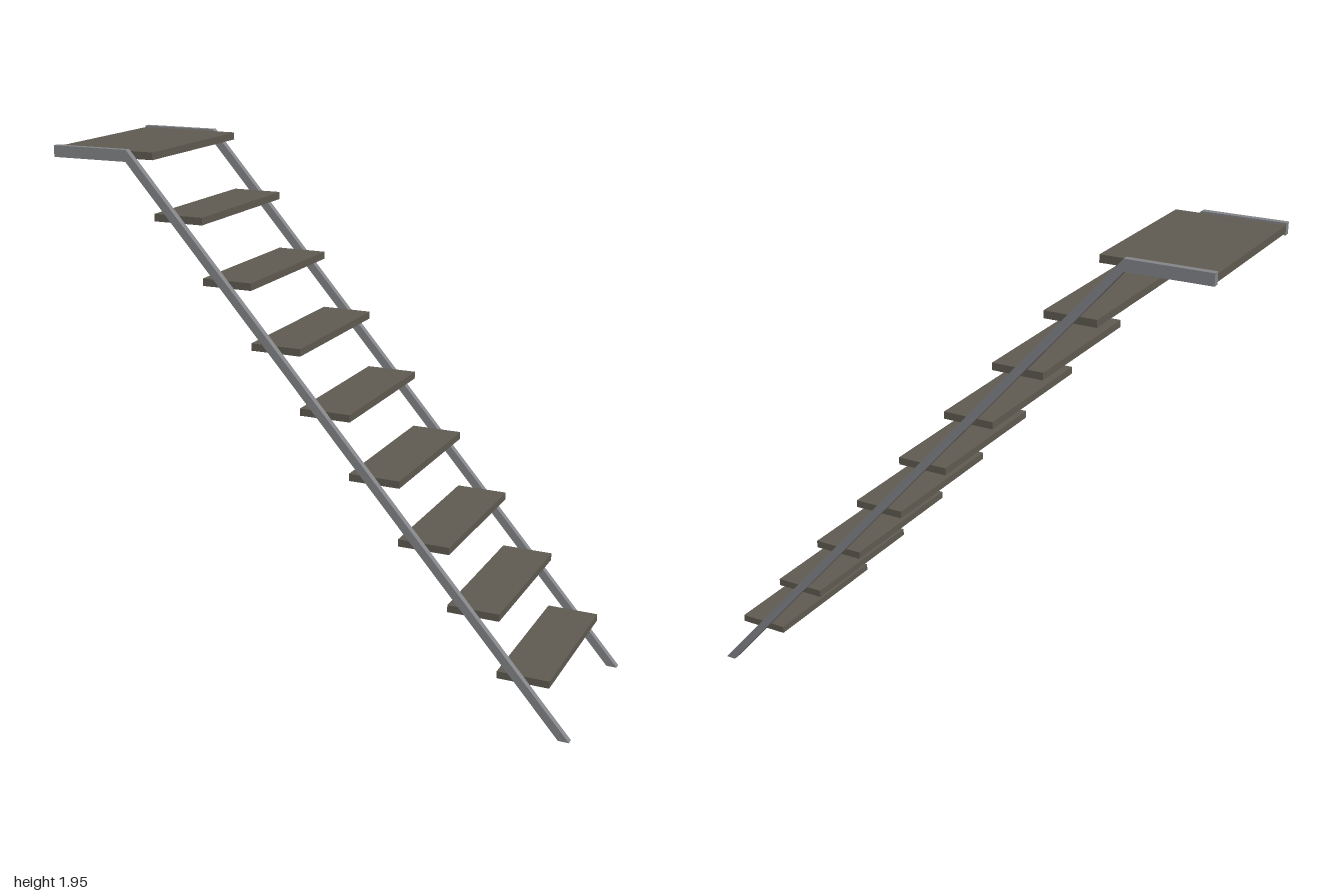
import * as THREE from 'three';

export function createModel() {
  const model = new THREE.Group();
  const steel = new THREE.MeshStandardMaterial({ color: 0x85868a });
  steel.name = 'grey steel';
  const board = new THREE.MeshStandardMaterial({ color: 0x605c52 });
  board.name = 'dark board';

  // Side rails: level at the landing, then straight down to the ground
  const railWidth = 0.024, inner = 0.302;
  const profile = new THREE.Shape([
    [-1, 1.903], [-0.702, 1.903], [0.96, 0], [1, 0], [-0.698, 1.945], [-1, 1.945],
  ].map(([x, y]) => new THREE.Vector2(x, y)));
  const railGeometry = new THREE.ExtrudeGeometry(profile, { depth: railWidth, bevelEnabled: false });
  for (const [name, z] of [['frontRail', inner], ['backRail', -inner - railWidth]]) {
    const rail = new THREE.Mesh(railGeometry, steel);
    rail.name = name;
    rail.position.z = z;
    model.add(rail);
  }

  // Boards fit between the rails
  const addBoard = (name, x0, x1, y) => {
    const mesh = new THREE.Mesh(new THREE.BoxGeometry(x1 - x0, 0.027, inner * 2), board);
    mesh.name = name;
    mesh.position.set((x0 + x1) / 2, y, 0);
    model.add(mesh);
  };

  // Eight evenly spaced treads and the landing
  const run = 0.1895, rise = 0.2165;
  for (let i = 0; i < 8; i++) {
    const x = 0.722 - i * run;
    addBoard(`tread${i + 1}`, x, x + 0.192, 0.193 + i * rise);
  }
  addBoard('landing', -1, -0.605, 0.193 + 8 * rise);

  return model;
}
